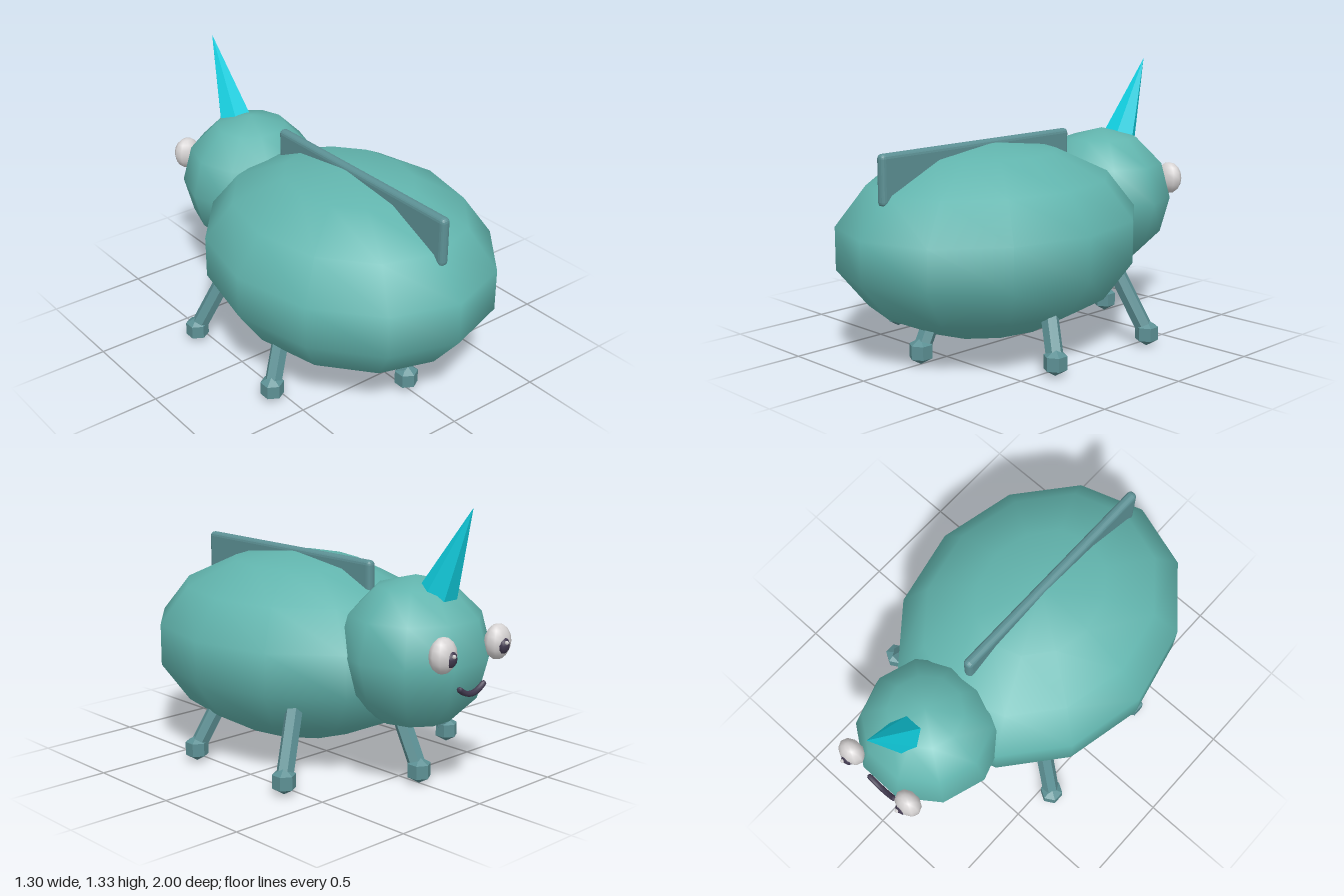
import * as THREE from 'three';
import { RoundedBoxGeometry } from 'three/addons/geometries/RoundedBoxGeometry.js';

const paint = (name, color, flatShading = false) => {
  const m = new THREE.MeshStandardMaterial({ color, flatShading });
  m.name = name;
  return m;
};

export function createModel() {
  const teal = paint('teal shell', 0x62b5ae);
  const greyTeal = paint('grey teal limbs', 0x5c9094, true);
  const cyan = paint('cyan horn', 0x10cfe0, true);
  const white = paint('eye white', 0xd6d3d3);
  const dark = paint('dark plum', 0x423a50);

  const model = new THREE.Group();
  model.name = 'hornedBeetle';

  const add = (name, geometry, material, position, parent = model) => {
    const mesh = new THREE.Mesh(geometry, material);
    mesh.name = name;
    mesh.position.set(...position);
    parent.add(mesh);
    return mesh;
  };
  const ellipsoid = (rx, ry, rz, w, h) => new THREE.SphereGeometry(1, w, h).scale(rx, ry, rz);

  // Body and head, coarse spheres with smooth normals
  add('body', ellipsoid(0.667, 0.463, 0.81, 12, 7), teal, [0, 0.542, 0.21]);
  add('head', ellipsoid(0.36, 0.36, 0.36, 10, 6), teal, [0, 0.635, -0.59]);

  // Long fin along the back
  add('backFin', new RoundedBoxGeometry(0.05, 0.24, 1.2, 2, 0.022), greyTeal, [0, 0.9, 0.285]);

  // Horn leaning forward (-z), origin at its base
  const hornGeometry = new THREE.ConeGeometry(0.1, 0.5, 6).rotateY(Math.PI / 6).translate(0, 0.25, 0);
  add('horn', hornGeometry, cyan, [0, 0.88, -0.706]).rotation.x = -0.44;

  // Eyes with pupils and small glints
  for (const [side, s] of [['left', 1], ['right', -1]]) {
    add(side + 'Eye', ellipsoid(0.072, 0.083, 0.055, 10, 8), white, [s * 0.185, 0.71, -0.925]);
    add(side + 'Pupil', ellipsoid(0.034, 0.04, 0.026, 8, 6), dark, [s * 0.178, 0.7, -0.963]);
    add(side + 'Glint', ellipsoid(0.01, 0.01, 0.01, 6, 4), white, [s * 0.178 + 0.006, 0.716, -0.988]);
  }

  // Smile
  const smile = new THREE.QuadraticBezierCurve3(
    new THREE.Vector3(-0.08, 0.537, 0),
    new THREE.Vector3(0, 0.473, 0),
    new THREE.Vector3(0.08, 0.537, 0)
  );
  const mouth = add('mouth', new THREE.TubeGeometry(smile, 10, 0.014, 6), dark, [0, 0, -0.935]);
  for (const s of [-1, 1]) {
    add('mouthEnd', ellipsoid(0.014, 0.014, 0.014, 6, 4), dark, [s * 0.08, 0.537, 0], mouth);
  }

  // Six legs spread evenly around the body, leaning in towards the top
  const legGeometry = new THREE.CylinderGeometry(0.042, 0.042, 0.42, 6).translate(0, 0.21, 0);
  const footGeometry = new THREE.SphereGeometry(0.065, 6, 3);
  for (let i = 0; i < 6; i++) {
    const leg = new THREE.Group();
    leg.name = 'leg' + (i + 1);
    leg.position.set(0, 0.068, 0.015);
    leg.rotation.y = Math.PI / 6 + (i * Math.PI) / 3;
    add('shin', legGeometry, greyTeal, [0.645, 0, 0], leg).rotation.z = 0.48;
    add('foot', footGeometry, greyTeal, [0.645, 0, 0], leg);
    model.add(leg);
  }
  return model;
}
